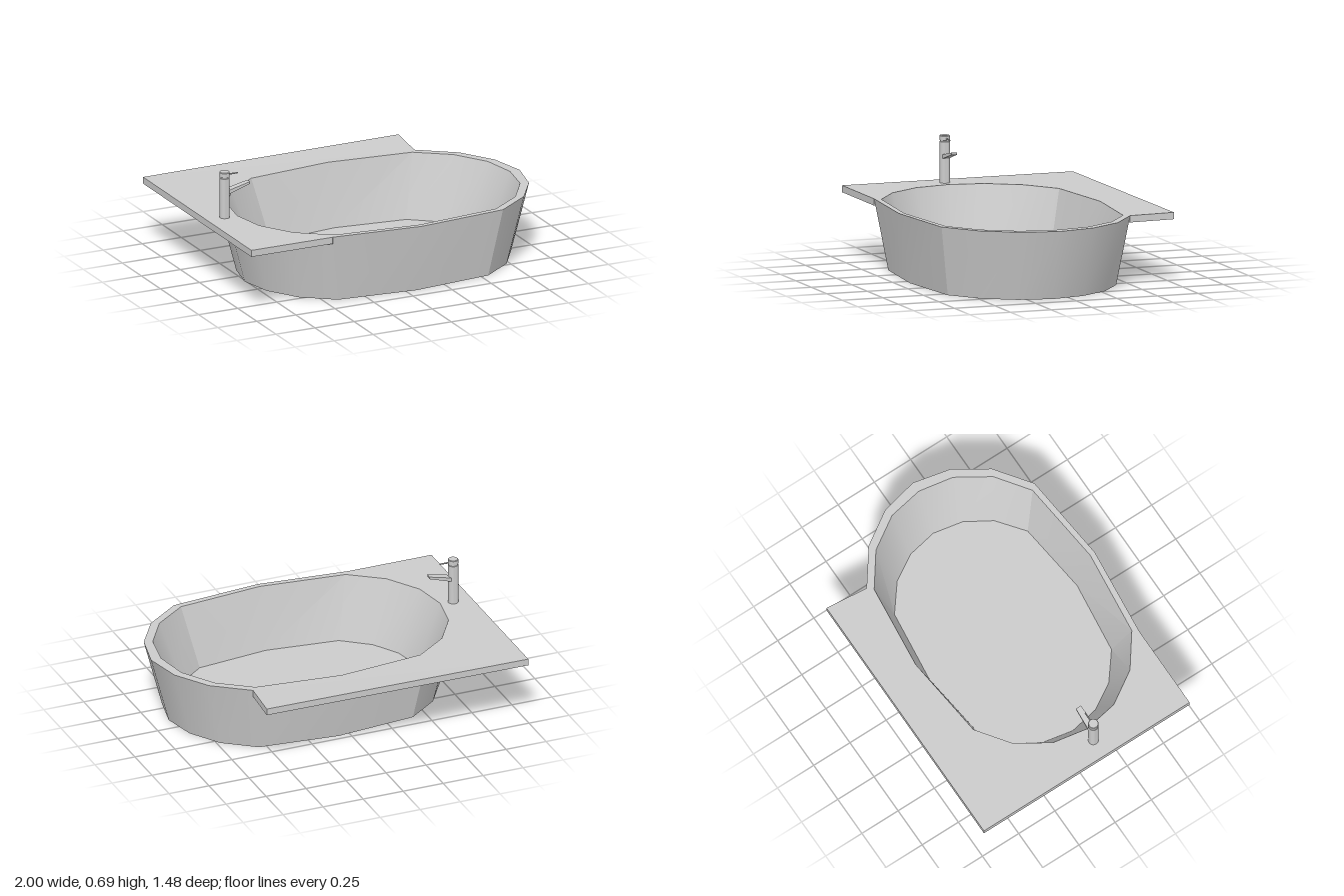
import * as THREE from 'three';
import { toCreasedNormals } from 'three/addons/utils/BufferGeometryUtils.js';

const CX = 0.065, CZ = 0.1, TOP = 0.41;

// Quarter outlines of the basin: offsets [x, z] from its centre
const OUTER_TOP = [[0.935, 0], [0.885, 0.225], [0.755, 0.425], [0.545, 0.58], [0, 0.635]];
const OUTER_BASE = OUTER_TOP.map(([x, z]) => [x * 0.882, z * 0.893]);
const INNER_TOP = [[0.873, 0], [0.835, 0.21], [0.71, 0.405], [0.515, 0.547], [0, 0.603]];
const INNER_FLOOR = [[0.725, 0], [0.69, 0.18], [0.595, 0.335], [0.435, 0.46], [0, 0.512]];
const CENTRE = OUTER_TOP.map(() => [0, 0]);

// Mirror a quarter outline into a closed ring of 16 points, from +x towards the back
function ring(quarter, y) {
  const half = [
    ...quarter.map(([x, z]) => [x, -z]),
    ...quarter.slice(0, 4).reverse().map(([x, z]) => [-x, -z]),
  ];
  const full = [...half, ...half.slice(1, 8).reverse().map(([x, z]) => [x, -z])];
  return full.map(([x, z]) => new THREE.Vector3(CX + x, y, CZ + z));
}

// Skin a stack of rings, leaving out collapsed triangles
function loft(rings) {
  const pos = [];
  const tri = (a, b, c) => {
    if (a.equals(b) || b.equals(c) || a.equals(c)) return;
    for (const p of [a, b, c]) pos.push(p.x, p.y, p.z);
  };
  for (let k = 0; k < rings.length - 1; k++) {
    const a = rings[k], b = rings[k + 1], n = a.length;
    for (let i = 0; i < n; i++) {
      const j = (i + 1) % n;
      tri(a[i], a[j], b[j]);
      tri(a[i], b[j], b[i]);
    }
  }
  const geo = new THREE.BufferGeometry();
  geo.setAttribute('position', new THREE.Float32BufferAttribute(pos, 3));
  return toCreasedNormals(geo, 0.5);
}

export function createModel() {
  const model = new THREE.Group();
  model.name = 'bathtub';
  const grey = new THREE.MeshStandardMaterial({ color: 0xcccccc });
  const add = (parent, name, geo, x = 0, y = 0, z = 0) => {
    const mesh = new THREE.Mesh(geo, grey);
    mesh.name = name;
    mesh.position.set(x, y, z);
    parent.add(mesh);
    return mesh;
  };

  // Basin: underside, outer wall, rim, inner wall and floor
  add(model, 'basin', loft([
    ring(CENTRE, 0), ring(OUTER_BASE, 0), ring(OUTER_TOP, TOP),
    ring(INNER_TOP, TOP), ring(INNER_FLOOR, 0.04), ring(CENTRE, 0.04),
  ]));

  // Deck: slab wrapping the back and right of the basin, tucked into its wall
  const tuck = ring(OUTER_TOP.map(([x, z]) => [x * 0.975, z * 0.975]), TOP);
  const outline = [
    [-1, -0.74], [0.635, -0.74], [0.61, -0.48],
    ...tuck.slice(3, 12).concat(tuck[12], tuck[13]).slice(0, 11)
      .filter((p) => p.x < 0.61 && !(p.z > 0.6 && p.x > -0.45)).map((p) => [p.x, p.z]),
    [-0.48, 0.68], [-1, 0.68],
  ];
  const shape = new THREE.Shape(outline.map(([x, z]) => new THREE.Vector2(x, -z)));
  const deck = new THREE.ExtrudeGeometry(shape, { depth: 0.04, bevelEnabled: false });
  deck.rotateX(-Math.PI / 2);
  // Lift the far back corner a little
  const p = deck.attributes.position;
  for (let i = 0; i < p.count; i++) {
    if (p.getX(i) > 0.62 && p.getZ(i) < -0.7) p.setY(i, p.getY(i) + 0.008);
  }
  deck.computeVertexNormals();
  add(model, 'deck', deck, 0, TOP - 0.04, 0);

  // Tap: column with a turned cap, wedge spout and lever
  const tap = new THREE.Group();
  tap.name = 'tap';
  tap.position.set(-0.885, 0, 0.092);
  model.add(tap);
  const column = [[0, 0.36], [0.03, 0.36], [0.03, 0.65], [0.027, 0.652],
    [0.027, 0.657], [0.03, 0.659], [0.03, 0.683], [0.027, 0.687], [0, 0.687]];
  add(tap, 'tapColumn', toCreasedNormals(new THREE.LatheGeometry(
    column.map(([r, y]) => new THREE.Vector2(r, y)), 24), 0.6));

  const side = new THREE.Shape([[0.01, 0.55], [0.153, 0.594], [0.155, 0.608], [0.01, 0.575]]
    .map(([x, y]) => new THREE.Vector2(x, y)));
  const spout = new THREE.ExtrudeGeometry(side, { depth: 0.044, bevelEnabled: false });
  spout.translate(0, 0, -0.022);
  // Narrow the spout towards its tip
  const sp = spout.attributes.position;
  for (let i = 0; i < sp.count; i++) {
    if (sp.getX(i) > 0.1) sp.setZ(i, sp.getZ(i) * 0.8);
  }
  spout.computeVertexNormals();
  add(tap, 'spout', spout);

  const lever = new THREE.CylinderGeometry(0.004, 0.005, 0.07, 8);
  lever.rotateZ(-Math.PI / 2);
  add(tap, 'lever', lever, 0.05, 0.668, 0);

  return model;
}
